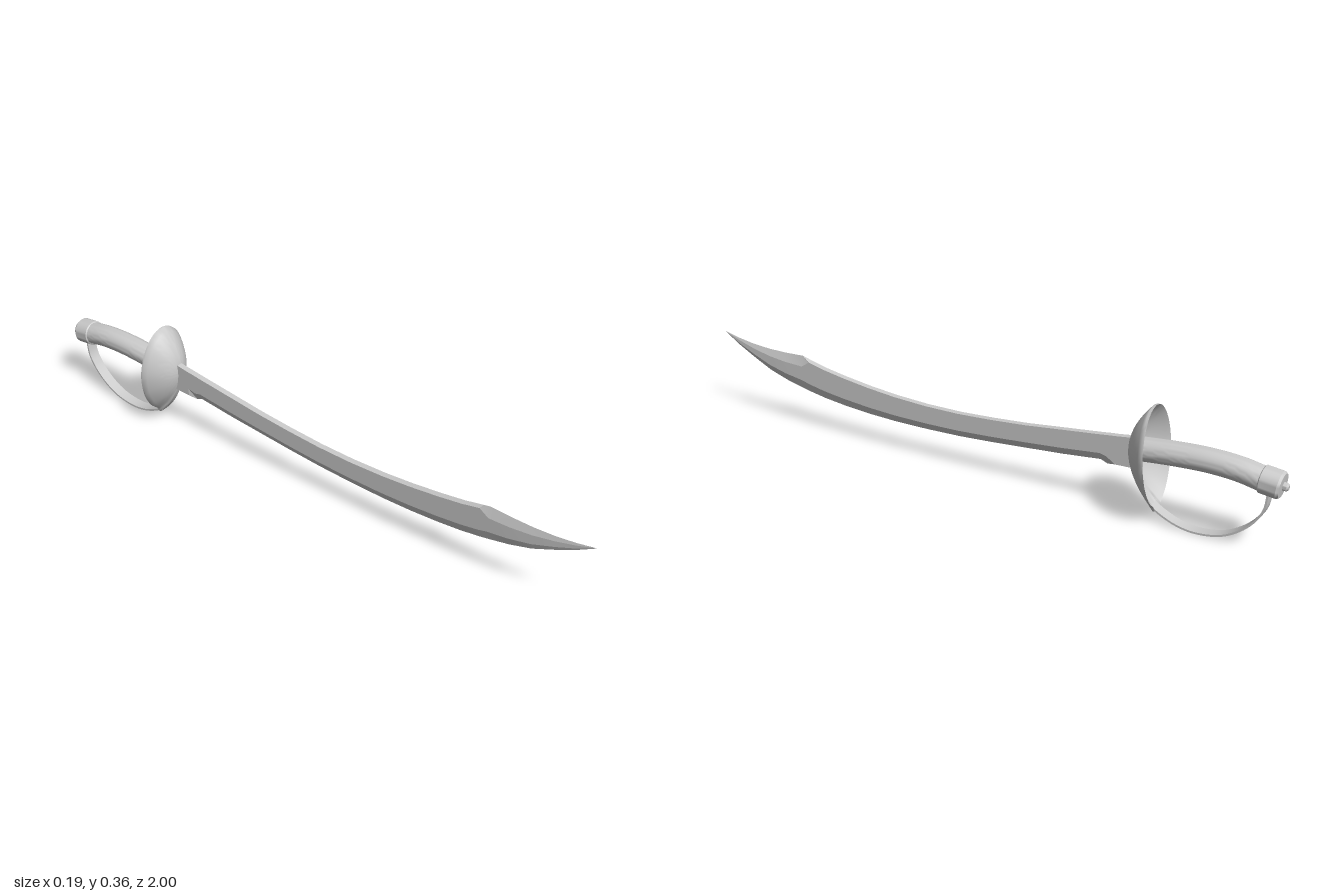
import * as THREE from 'three';
import { toCreasedNormals } from 'three/addons/utils/BufferGeometryUtils.js';

const material = new THREE.MeshStandardMaterial({ color: 0xcccccc, side: THREE.DoubleSide });

// Skin a series of equal-length rings and cap both ends
function loft(rings) {
  const n = rings[0].length, last = (rings.length - 1) * n, index = [];
  for (let s = 0; s < rings.length - 1; s++) {
    for (let k = 0; k < n; k++) {
      const a = s * n + k, b = s * n + (k + 1) % n;
      index.push(a, b, b + n, a, b + n, a + n);
    }
  }
  for (let k = 1; k < n - 1; k++) {
    index.push(0, k + 1, k, last, last + k, last + k + 1);
  }
  const geo = new THREE.BufferGeometry();
  geo.setAttribute('position', new THREE.Float32BufferAttribute(rings.flat(2), 3));
  geo.setIndex(index);
  return geo;
}

// Smooth path in the centre plane from [z, y] pairs
const planeCurve = (pts) =>
  new THREE.CatmullRomCurve3(pts.map(([z, y]) => new THREE.Vector3(0, y, z)), false, 'centripetal');

// Sweep a section (list of [side, up]) along a centre-plane curve
function sweep(curve, steps, section) {
  const rings = [];
  for (let i = 0; i <= steps; i++) {
    const p = curve.getPointAt(i / steps), t = curve.getTangentAt(i / steps);
    rings.push(section.map(([x, u]) => [x, p.y + u * t.z, p.z - u * t.y]));
  }
  return loft(rings);
}

function ellipse(rx, ry, n = 32) {
  return Array.from({ length: n }, (_, i) => {
    const a = (i / n) * Math.PI * 2;
    return [rx * Math.cos(a), ry * Math.sin(a)];
  });
}

function add(group, name, geo, crease = 0.6) {
  const mesh = new THREE.Mesh(toCreasedNormals(geo, crease), material);
  mesh.name = name;
  group.add(mesh);
  return mesh;
}

// Curved blade: flat spine, bevelled cutting edge, sharpened back near the tip
function bladeGeometry() {
  const stations = [ // z, spine y, edge y
    [-0.56, 0.253, 0.155], [-0.48, 0.242, 0.152], [-0.452, 0.239, 0.144], [-0.43, 0.236, 0.153],
    [-0.3, 0.221, 0.139], [-0.18, 0.207, 0.129], [-0.06, 0.197, 0.119], [0.06, 0.19, 0.111],
    [0.18, 0.189, 0.107], [0.3, 0.194, 0.106], [0.4, 0.203, 0.109], [0.5, 0.216, 0.116],
    [0.58, 0.229, 0.125], [0.64, 0.243, 0.135], [0.67, 0.257, 0.141], [0.74, 0.254, 0.157],
    [0.81, 0.254, 0.179], [0.88, 0.259, 0.212], [0.94, 0.268, 0.243], [1, 0.281, 0.28],
  ];
  return loft(stations.map(([z, top, bot]) => {
    const h = top - bot;
    const w = 0.01 * Math.min(1, (1 - z) / 0.25);
    const spine = z > 0.65 ? 0 : w;
    const edge = z < -0.47 ? w : 0;
    const upper = z > 0.65 ? top - 0.3 * h : top - 0.002;
    const lower = bot + 0.28 * h;
    const half = [[edge, bot], [w, lower], [w, upper], [spine, top]];
    const mirrored = half.map(([x, y]) => [-x, y]).reverse();
    return [...half, ...mirrored].map(([x, y]) => [x, y, z]);
  }));
}

// Egg-shaped bowl: a thin lathe shell reshaped to the outline
function guardGeometry() {
  const outline = new THREE.SplineCurve([
    [0, 0.362], [0.032, 0.353], [0.064, 0.323], [0.088, 0.272], [0.097, 0.212],
    [0.086, 0.143], [0.058, 0.085], [0.025, 0.053], [0.018, 0.038], [0, 0.036],
  ].map(([x, y]) => new THREE.Vector2(x, y)));
  const depth = 0.077, thick = 0.007, centreY = 0.21, rows = 12;
  const profile = [];
  for (let i = 0; i <= rows; i++) {
    const r = i / rows;
    profile.push(new THREE.Vector2(r, depth * (1 - r * r) - thick));
  }
  for (let i = rows; i >= 0; i--) {
    const r = i / rows;
    profile.push(new THREE.Vector2(r, depth * (1 - r * r)));
  }
  const geo = new THREE.LatheGeometry(profile, 72);
  const pos = geo.attributes.position;
  for (let i = 0; i < pos.count; i++) {
    const side = pos.getZ(i), up = pos.getX(i), r = Math.hypot(side, up);
    const angle = Math.atan2(side, up);
    const o = outline.getPoint(Math.abs(angle) / Math.PI);
    const y = centreY + r * (o.y - centreY);
    const rim = -0.59 - (0.36 - y) * 0.063;
    pos.setXYZ(i, Math.sign(angle) * r * o.x, y, rim + pos.getY(i));
  }
  geo.deleteAttribute('uv');
  return geo;
}

export function createModel() {
  const sword = new THREE.Group();
  sword.name = 'sabre';

  add(sword, 'blade', bladeGeometry(), 0.2);
  add(sword, 'guard', guardGeometry(), 0.9);

  // Gently arched grip
  const gripPath = planeCurve([[-0.93, 0.214], [-0.86, 0.227], [-0.77, 0.232], [-0.66, 0.227], [-0.545, 0.216]]);
  add(sword, 'grip', sweep(gripPath, 24, ellipse(0.038, 0.036)));

  // Flat knuckle bow from pommel to guard
  const bowPath = planeCurve([
    [-0.948, 0.185], [-0.938, 0.125], [-0.897, 0.066], [-0.827, 0.019],
    [-0.745, 0.004], [-0.685, 0.012], [-0.635, 0.032], [-0.601, 0.052],
  ]);
  add(sword, 'knuckleBow', sweep(bowPath, 40, [[0.018, -0.003], [0.018, 0.003], [-0.018, 0.003], [-0.018, -0.003]]));

  // Tilted pommel cap with a small end button
  const pommel = new THREE.Group();
  pommel.name = 'pommel';
  const turned = (pts) => new THREE.LatheGeometry(pts.map(([r, h]) => new THREE.Vector2(r, h)), 32);
  add(pommel, 'pommelCap', turned([[0, -0.03], [0.038, -0.03], [0.041, -0.027], [0.041, 0.024], [0.036, 0.031], [0, 0.033]]));
  add(pommel, 'pommelButton', turned([[0.012, 0.03], [0.012, 0.043], [0.008, 0.048], [0, 0.049]]));
  pommel.position.set(0, 0.212, -0.951);
  pommel.rotation.x = -Math.PI / 2 - 0.12;
  sword.add(pommel);

  return sword;
}
